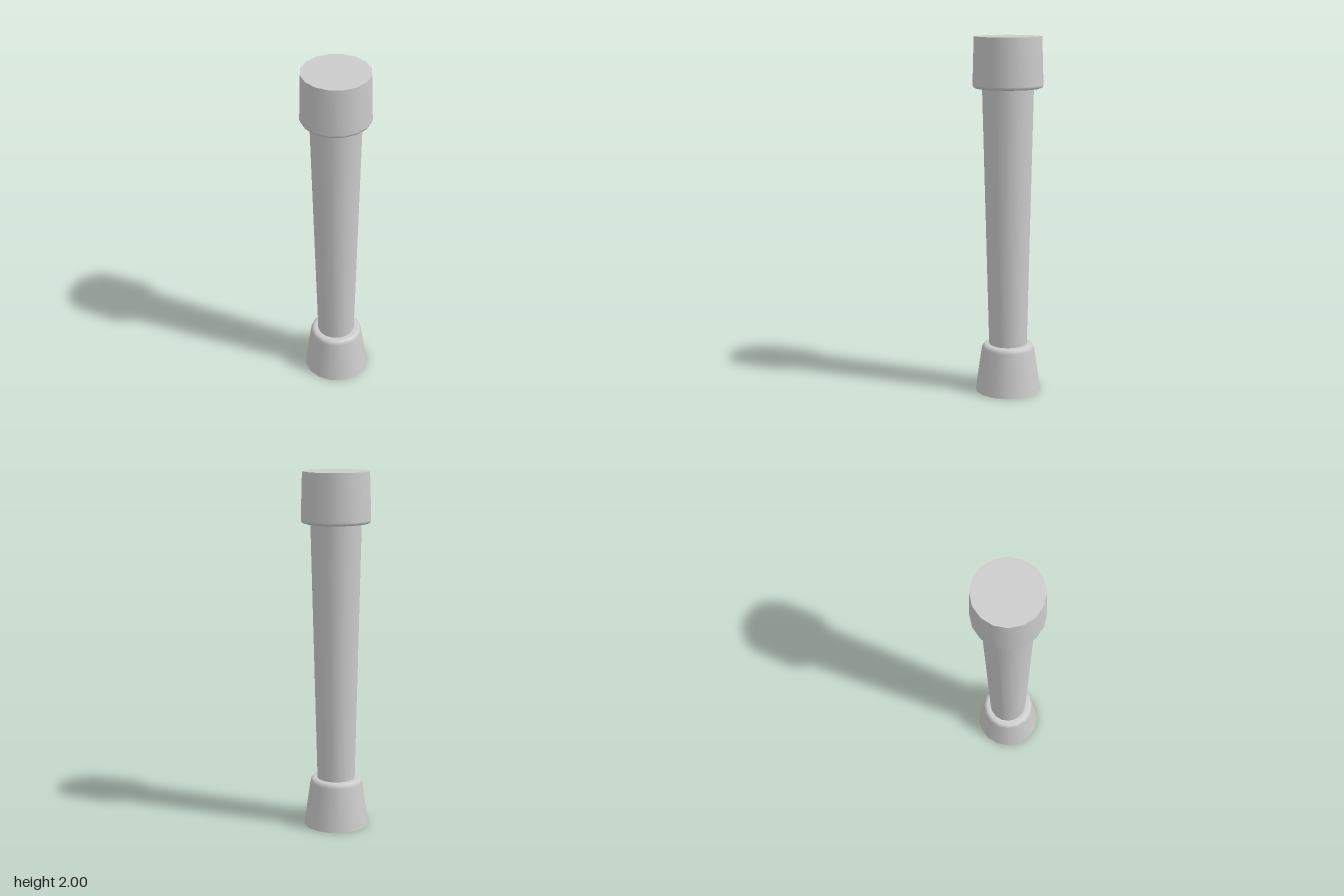
import * as THREE from 'three';

const SIDES = 16;

export function createModel() {
  const model = new THREE.Group();
  const material = new THREE.MeshStandardMaterial({ color: 0xcccccc });

  const add = (name, geometry) => {
    const mesh = new THREE.Mesh(geometry, material);
    mesh.name = name;
    model.add(mesh);
    return mesh;
  };
  // Profiles run from bottom to top as [radius, height]
  const turned = (name, profile) =>
    add(name, new THREE.LatheGeometry(profile.map(([r, y]) => new THREE.Vector2(r, y)), SIDES));
  // Flat end face, separate so its rim stays sharp
  const disc = (name, radius, y, up) => {
    const geometry = new THREE.CircleGeometry(radius, SIDES);
    geometry.rotateX(up ? -Math.PI / 2 : Math.PI / 2);
    add(name, geometry).position.y = y;
  };

  // Flared foot with a softened upper edge
  turned('foot', [[0.185, 0], [0.149, 0.245], [0.146, 0.258], [0.138, 0.268], [0.127, 0.272], [0.1, 0.272]]);
  disc('footUnderside', 0.185, 0, false);

  // Shaft widening towards the top
  turned('shaft', [[0.107, 0.26], [0.142, 1.73]]);

  // Slightly tapered head with a softened lower edge
  turned('head', [[0.13, 1.72], [0.178, 1.72], [0.189, 1.724], [0.194, 1.738], [0.186, 2]]);
  disc('headTop', 0.186, 2, true);

  return model;
}
